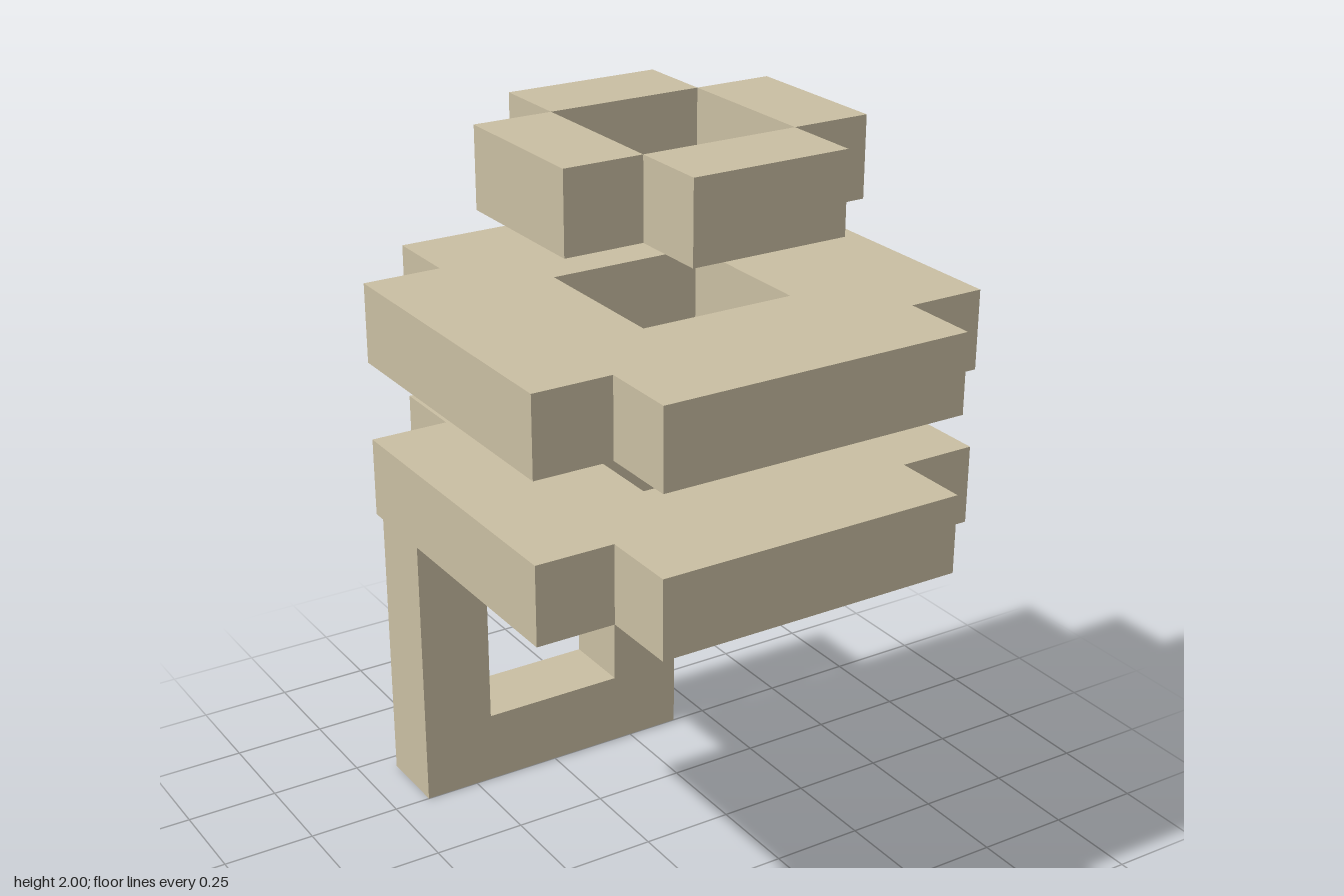
import * as THREE from 'three';

const stone = new THREE.MeshStandardMaterial({ color: 0xc9bea2 });
stone.name = 'sandstone';

const T = 0.2; // thickness of every part
const CZ = 0.1; // shared centre of the stacked layers

const outline = (pts, Type = THREE.Shape) => new Type(pts.map(([x, y]) => new THREE.Vector2(x, y)));

// Extruded outline with a square hole in the middle
function holedSlab(name, pts) {
  const shape = outline(pts);
  shape.holes.push(outline([[-0.2, -0.2], [-0.2, 0.2], [0.2, 0.2], [0.2, -0.2]], THREE.Path));
  const geometry = new THREE.ExtrudeGeometry(shape, { depth: T, bevelEnabled: false });
  const mesh = new THREE.Mesh(geometry, stone);
  mesh.name = name;
  return mesh;
}

export function createModel() {
  const model = new THREE.Group();
  model.name = 'floatingBlocks';

  // Upright square frame at the back
  const frame = holedSlab('backFrame', [[-0.4, -0.4], [0.4, -0.4], [0.4, 0.4], [-0.4, 0.4]]);
  frame.position.set(0, 0.4, -0.7);
  model.add(frame);

  // Two flat slabs with notched corners
  const notched = [
    [-0.4, -0.6], [0.4, -0.6], [0.4, -0.4], [0.6, -0.4], [0.6, 0.4], [0.4, 0.4],
    [0.4, 0.6], [-0.4, 0.6], [-0.4, 0.4], [-0.6, 0.4], [-0.6, -0.4], [-0.4, -0.4],
  ];
  for (const [name, y] of [['lowerSlab', 1], ['upperSlab', 1.4]]) {
    const slab = holedSlab(name, notched);
    slab.rotation.x = -Math.PI / 2;
    slab.position.set(0, y, CZ);
    model.add(slab);
  }

  // Top ring of four bars meeting at their corners
  const ring = new THREE.Group();
  ring.name = 'topRing';
  ring.position.set(0, 1.9, CZ);
  const barGeometry = new THREE.BoxGeometry(0.4, T, T);
  ['frontBar', 'leftBar', 'backBar', 'rightBar'].forEach((name, i) => {
    const bar = new THREE.Mesh(barGeometry, stone);
    const angle = (i * Math.PI) / 2;
    bar.name = name;
    bar.rotation.y = angle;
    bar.position.set(0.3 * Math.sin(angle), 0, 0.3 * Math.cos(angle));
    ring.add(bar);
  });
  model.add(ring);

  return model;
}
